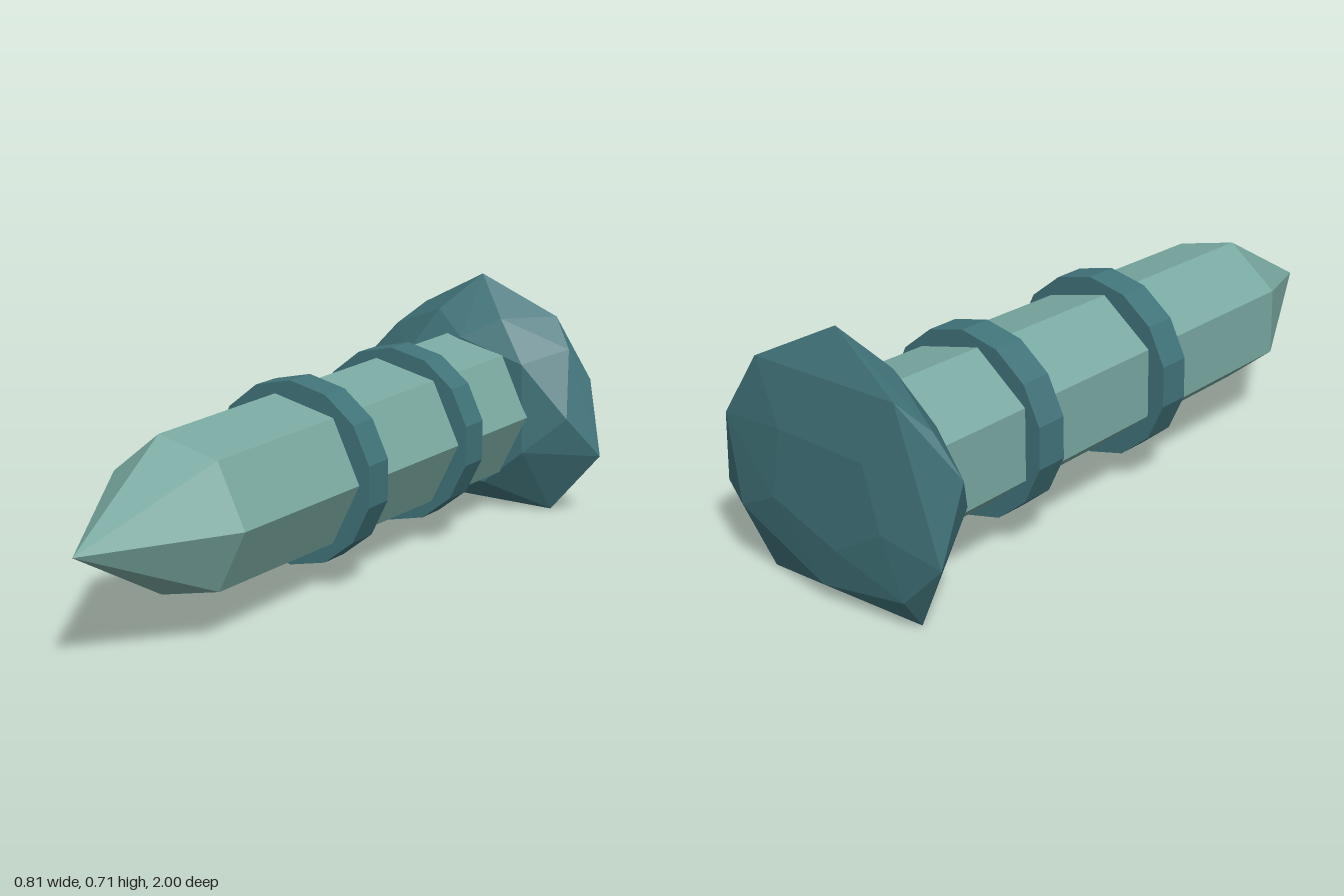
import * as THREE from 'three';
import { ConvexGeometry } from 'three/addons/geometries/ConvexGeometry.js';

// All round parts share one axis running along z
const AXIS_X = -0.01, AXIS_Y = 0.31;

function material(name, color) {
  const m = new THREE.MeshStandardMaterial({ color, flatShading: true });
  m.name = name;
  return m;
}

// Faceted frustum between two z positions
function frustum(name, rFront, rBack, zFront, zBack, sides, start, mat) {
  const g = new THREE.CylinderGeometry(rFront, rBack, zFront - zBack, sides, 1, false, start);
  g.rotateX(Math.PI / 2);
  g.translate(AXIS_X, AXIS_Y, (zFront + zBack) / 2);
  const mesh = new THREE.Mesh(g, mat);
  mesh.name = name;
  return mesh;
}

export function createModel() {
  const group = new THREE.Group();
  group.name = 'spike';
  const pale = material('pale teal', 0x7aaaa2);
  const dark = material('dark teal', 0x41747a);

  // Seven-sided shaft and its point
  group.add(frustum('shaft', 0.215, 0.232, 0.61, -0.88, 7, Math.PI / 2, pale));
  group.add(frustum('tip', 0, 0.215, 1, 0.61, 7, Math.PI / 2, pale));

  // Two collars
  for (const z of [0.06, -0.45]) {
    group.add(frustum('collar', 0.257, 0.257, z + 0.047, z - 0.047, 14, 0, dark));
  }

  // Irregular hammered head, as outlines at successive depths
  const outlines = [
    // front face
    [-0.8, [[-0.2, 0.46], [-0.01, 0.53], [0.2, 0.47], [0.21, 0.2], [0.08, 0.09], [-0.12, 0.1], [-0.22, 0.22]]],
    // front shoulder
    [-0.85, [[-0.115, 0.6], [0.1, 0.59], [-0.34, 0.31], [0.33, 0.31], [0.18, 0.1], [-0.1, 0.03]]],
    // widest rim
    [-0.93, [[-0.01, 0.707], [0.29, 0.505], [0.405, 0.19], [0.245, 0], [-0.26, 0.004], [-0.405, 0.425], [-0.315, 0.52]]],
    // back rim
    [-0.98, [[-0.24, 0.59], [0.22, 0.59], [0.34, 0.41], [0.3, 0.17], [0.02, 0.04], [-0.25, 0.08], [-0.375, 0.205]]],
    // shallow back dome
    [-1, [[-0.15, 0.42], [0.13, 0.43], [0.16, 0.24], [-0.05, 0.16], [-0.2, 0.25]]],
  ];
  const points = outlines.flatMap(([z, ring]) => ring.map(([x, y]) => new THREE.Vector3(x, y, z)));
  const head = new THREE.Mesh(new ConvexGeometry(points), dark);
  head.name = 'head';
  group.add(head);

  return group;
}
